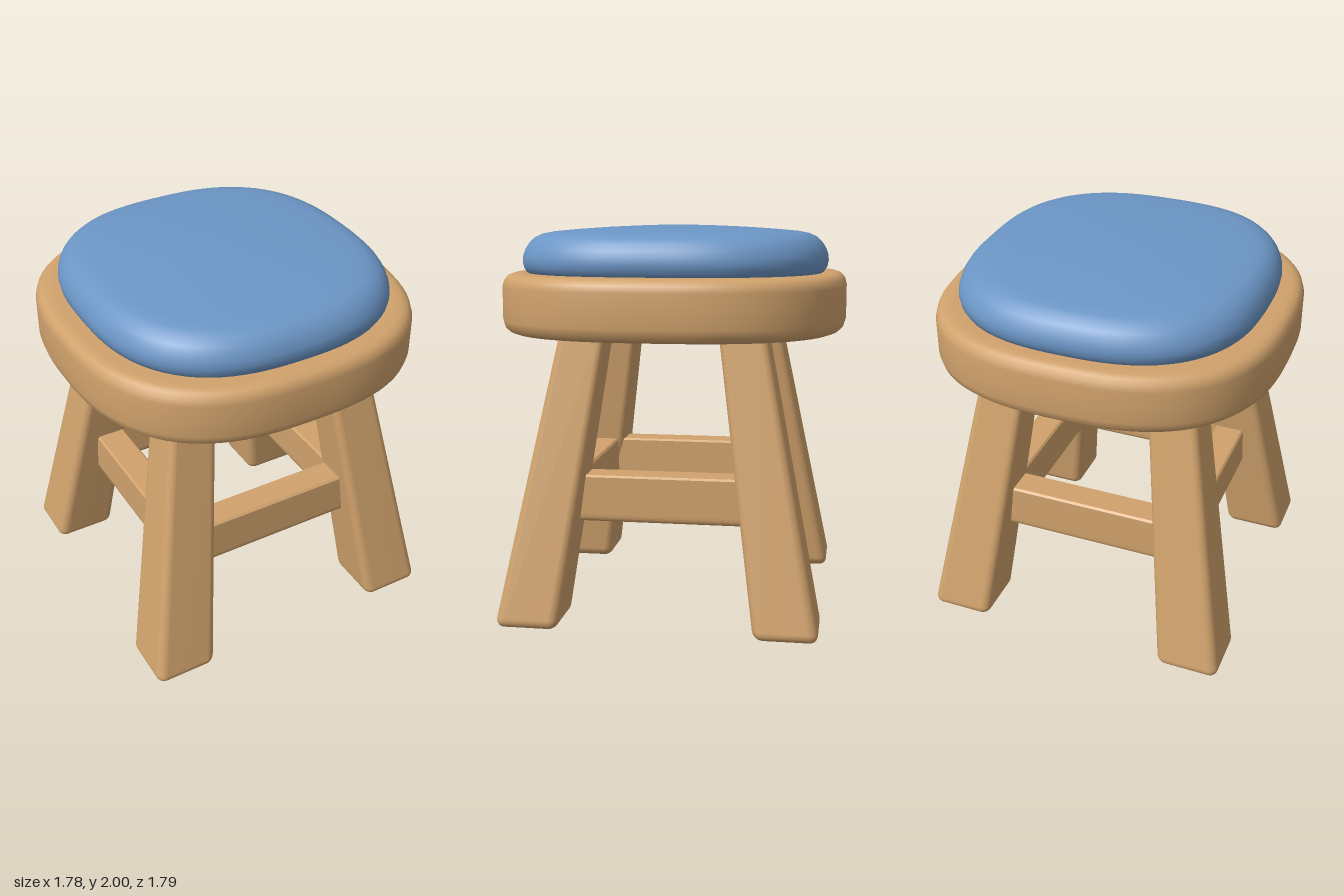
import * as THREE from 'three';
import { mergeVertices } from 'three/addons/utils/BufferGeometryUtils.js';
import { RoundedBoxGeometry } from 'three/addons/geometries/RoundedBoxGeometry.js';

const wood = new THREE.MeshStandardMaterial({ color: 0xd0a26c });
wood.name = 'wood';
const fabric = new THREE.MeshStandardMaterial({ color: 0x6c96c6 });
fabric.name = 'blueFabric';

// Move every vertex by a rule, then weld and smooth
function warp(geometry, rule) {
  const p = geometry.attributes.position;
  const v = new THREE.Vector3();
  for (let i = 0; i < p.count; i++) {
    rule(v.fromBufferAttribute(p, i));
    p.setXYZ(i, v.x, v.y, v.z);
  }
  geometry.deleteAttribute('normal');
  geometry.deleteAttribute('uv');
  const welded = mergeVertices(geometry, 1e-5);
  welded.computeVertexNormals();
  return welded;
}

// Turned profile [radius, y] squared off into a soft rounded-square outline
function softDisc(profile, rx, rz, power) {
  const lathe = new THREE.LatheGeometry(profile.map(([r, y]) => new THREE.Vector2(r, y)), 96);
  return warp(lathe, (v) => {
    const r = Math.hypot(v.x, v.z);
    if (r < 1e-6) return;
    const c = Math.abs(v.x / r), s = Math.abs(v.z / r);
    // undo the circle, keep the direction, apply the superellipse radius
    const k = Math.pow(c ** power + s ** power, -1 / power);
    v.x *= k * rx;
    v.z *= k * rz;
  });
}

// Tapered leg that splays outward to the corner (sx, sz)
function legGeometry(sx, sz) {
  const height = 1.5;
  const box = new RoundedBoxGeometry(0.335, height, 0.325, 4, 0.05);
  return warp(box, (v) => {
    v.y += height / 2;
    const t = v.y / 1.45;
    const taper = 1 - 0.265 * t;
    v.x = v.x * taper + sx * (0.66 - 0.22 * t);
    v.z = v.z * taper + sz * (0.652 - 0.247 * t);
  });
}

// Rail section: flat top with small edges, softened underside
function railGeometry(length) {
  const w = 0.08, lo = 0.508, hi = 0.75;
  const s = new THREE.Shape();
  s.moveTo(-w + 0.03, lo);
  s.lineTo(w - 0.03, lo);
  s.quadraticCurveTo(w, lo, w, lo + 0.04);
  s.lineTo(w, hi - 0.01);
  s.lineTo(w - 0.01, hi);
  s.lineTo(-w + 0.01, hi);
  s.lineTo(-w, hi - 0.01);
  s.lineTo(-w, lo + 0.04);
  s.quadraticCurveTo(-w, lo, -w + 0.03, lo);
  const g = new THREE.ExtrudeGeometry(s, { depth: length, bevelEnabled: false, curveSegments: 6 });
  return g.translate(0, 0, -length / 2);
}

export function createModel() {
  const stool = new THREE.Group();
  stool.name = 'stool';
  const add = (name, geometry, material) => {
    const mesh = new THREE.Mesh(geometry, material);
    mesh.name = name;
    stool.add(mesh);
    return mesh;
  };

  // Wooden seat with rounded rims
  add('seat', softDisc([
    [0, 1.45], [0.9, 1.45], [0.935, 1.452], [0.965, 1.462], [0.988, 1.482], [1, 1.52],
    [1, 1.6], [1, 1.69], [0.99, 1.722], [0.97, 1.744], [0.94, 1.754], [0.9, 1.756], [0, 1.756],
  ], 0.89, 0.895, 2.65), wood);

  // Domed cushion
  add('cushion', softDisc([
    [0, 1.745], [0.95, 1.745], [0.975, 1.76], [0.993, 1.785], [1, 1.815], [0.996, 1.845],
    [0.98, 1.88], [0.955, 1.91], [0.92, 1.937], [0.87, 1.955], [0.8, 1.966], [0.65, 1.977],
    [0.45, 1.988], [0.2, 1.997], [0, 2],
  ], 0.773, 0.798, 2.6), fabric);

  // Four splayed legs
  for (const [sx, sz, name] of [
    [1, 1, 'frontLeftLeg'], [-1, 1, 'frontRightLeg'],
    [1, -1, 'backLeftLeg'], [-1, -1, 'backRightLeg'],
  ]) add(name, legGeometry(sx, sz), wood);

  // Four rails between neighbouring legs
  const offset = 0.5;
  ['frontRail', 'leftRail', 'backRail', 'rightRail'].forEach((name, i) => {
    const rail = add(name, railGeometry(1.04), wood);
    const a = i * Math.PI / 2;
    rail.position.set(Math.sin(a) * offset, 0, Math.cos(a) * offset);
    rail.rotation.y = a + Math.PI / 2;
  });

  return stool;
}
